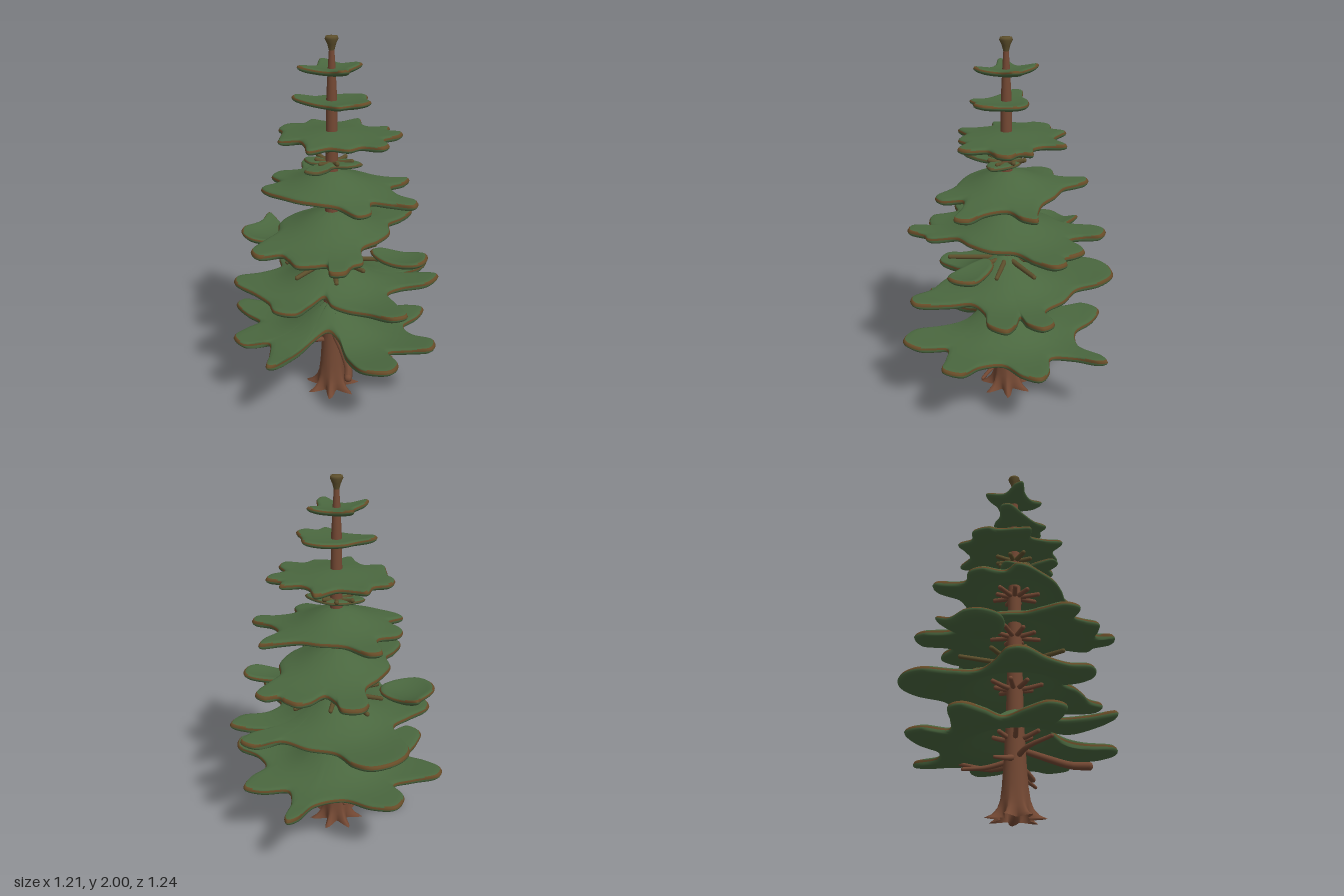
import * as THREE from 'three';

const mat = (name, color, side = THREE.FrontSide) => {
  const m = new THREE.MeshStandardMaterial({ color, side });
  m.name = name;
  return m;
};
const CZ = 0.03; // trunk axis

// Closed lobed pad: a smooth outline swept from centre over a rounded rim to the underside.
// o: y rim height, dome height, width of dome, lift of the tips, tilt along x and z, th thickness, c centre
function pad(name, pts, o, mats) {
  const { y, dome = 0, width = 0.2, lift = 0, tilt = [0, 0], th = 0.04, c = [0, CZ] } = o;
  const curve = new THREE.CatmullRomCurve3(pts.map(p => new THREE.Vector3(p[0] - c[0], 0, p[1] - c[1])), true, 'centripetal');
  const N = pts.length * 12;
  // rows: [radial fraction, inset from the rim, height in half thicknesses]
  const rows = [];
  const body = [0, 0.12, 0.25, 0.38, 0.5, 0.62, 0.74, 0.85, 0.95];
  body.forEach(f => rows.push([f, 0.018 * f, 1]));
  rows.push([1, 0.013, 0.85], [1, 0.006, 0.55], [1, 0, 0], [1, 0.004, -0.5], [1, 0.014, -0.85]);
  body.slice().reverse().forEach(f => rows.push([f, 0.018 * f, -1]));
  const outline = Array.from({ length: N }, (_, i) => curve.getPoint(i / N));
  const meanR = outline.reduce((s, p) => s + p.length(), 0) / N;
  let area = 0;
  outline.forEach((p, i) => { const q = outline[(i + 1) % N]; area += p.x * q.z - q.x * p.z; });
  if (area < 0) outline.reverse(); // keeps the faces outward
  const pos = [], faces = [[], []];
  rows.forEach(([f, inset, v], r) => outline.forEach((p, i) => {
    const R = p.length(), d = Math.max(0, R * f - inset), k = d / R;
    const h = y + dome * Math.exp(-((d / width) ** 2)) + lift * d * d + (tilt[0] * p.x + tilt[1] * p.z) * k;
    pos.push(c[0] + p.x * k, h + v * th / 2, c[1] + p.z * k);
    if (r === rows.length - 1) return;
    // dried edge: a thin line all round, broader on the lobe tips
    const e = r - body.length, dry = e === 1 || (e === 0 && R > meanR * 1.12);
    const a = r * N + i, b = r * N + (i + 1) % N;
    faces[dry ? 1 : 0].push(a, b, a + N, b, b + N, a + N);
  }));
  const g = new THREE.BufferGeometry();
  g.setAttribute('position', new THREE.Float32BufferAttribute(pos, 3));
  g.setIndex(faces.flat());
  g.addGroup(0, faces[0].length, 0);
  g.addGroup(faces[0].length, faces[1].length, 1);
  g.computeVertexNormals();
  const mesh = new THREE.Mesh(g, mats);
  mesh.name = name;
  return mesh;
}

// Tapered rounded twig through a few points
function twig(name, pts, r0, r1, m) {
  const group = new THREE.Group();
  group.name = name;
  const path = new THREE.CatmullRomCurve3(pts.map(p => new THREE.Vector3(...p)));
  const S = 10, K = 8, g = new THREE.TubeGeometry(path, S, 1, K);
  const p = g.attributes.position, v = new THREE.Vector3();
  for (let i = 0; i < p.count; i++) {
    const t = Math.floor(i / (K + 1)) / S, c = path.getPointAt(t);
    v.fromBufferAttribute(p, i).sub(c).multiplyScalar(r0 + (r1 - r0) * t).add(c);
    p.setXYZ(i, v.x, v.y, v.z);
  }
  const tip = new THREE.Mesh(new THREE.SphereGeometry(r1, 8, 6), m);
  tip.position.copy(path.getPoint(1));
  group.add(new THREE.Mesh(g, m), tip);
  return group;
}

export function createModel() {
  const tree = new THREE.Group();
  tree.name = 'coniferTree';
  const bark = mat('bark', 0x734833, THREE.DoubleSide);
  const needles = mat('needles', 0x4a673f);
  const rim = mat('driedRim', 0x684c28);
  const olive = mat('oliveTwig', 0x5d4f2c);
  const leaf = [needles, rim];

  // Trunk with star-shaped root flare
  const profile = [[0.105, 0], [0.092, 0.02], [0.082, 0.05], [0.074, 0.09], [0.066, 0.16], [0.058, 0.28], [0.05, 0.42], [0.043, 0.65],
    [0.038, 1], [0.032, 1.4], [0.027, 1.7], [0.019, 1.85], [0.013, 1.94]].map(p => new THREE.Vector2(...p));
  const tg = new THREE.LatheGeometry(profile, 56);
  const tp = tg.attributes.position;
  for (let i = 0; i < tp.count; i++) {
    const x = tp.getX(i), y = tp.getY(i), z = tp.getZ(i);
    const star = Math.abs(Math.cos(3.5 * Math.atan2(x, z) + 0.3));
    const k = 1 + Math.exp(-y / 0.035) * (0.58 - 0.9 * star);
    tp.setXYZ(i, x * k, y, z * k);
  }
  tg.computeVertexNormals();
  const trunk = new THREE.Mesh(tg, bark);
  trunk.name = 'trunk';
  trunk.position.z = CZ;
  tree.add(trunk);

  // Bud at the very top
  const bud = new THREE.Mesh(new THREE.LatheGeometry([[0.014, 1.93], [0.022, 1.96], [0.034, 1.985], [0.03, 1.998], [0, 2]]
    .map(p => new THREE.Vector2(...p)), 12), olive);
  bud.name = 'topBud';
  bud.position.z = CZ;
  tree.add(bud);

  // Foliage tiers, bottom to top: outline as alternating lobes and notches
  tree.add(pad('lowestTier', [
    [0.06, -0.62], [0.085, -0.59], [0.1, -0.45], [0.16, -0.34], [0.3, -0.4], [0.39, -0.4], [0.4, -0.3], [0.36, -0.16],
    [0.45, -0.07], [0.58, -0.04], [0.6, 0.06], [0.5, 0.11], [0.4, 0.17], [0.5, 0.29], [0.49, 0.39], [0.36, 0.42],
    [0.24, 0.34], [0.13, 0.22], [0.06, 0.2], [0, 0.28], [-0.04, 0.46], [-0.065, 0.6], [-0.09, 0.615], [-0.15, 0.48],
    [-0.22, 0.37], [-0.32, 0.46], [-0.41, 0.41], [-0.41, 0.3], [-0.39, 0.17], [-0.5, 0.13], [-0.6, 0.07], [-0.6, 0],
    [-0.48, -0.06], [-0.38, -0.13], [-0.46, -0.23], [-0.44, -0.34], [-0.32, -0.36], [-0.16, -0.33], [-0.02, -0.42], [0.025, -0.58]],
  { y: 0.352, dome: 0.185, width: 0.2, lift: 0.12, tilt: [0, 0.05] }, leaf));

  tree.add(pad('secondTier', [
    [0.04, -0.35], [0.2, -0.32], [0.31, -0.43], [0.39, -0.41], [0.38, -0.32], [0.32, -0.24], [0.42, -0.27], [0.51, -0.27],
    [0.5, -0.16], [0.38, -0.06], [0.34, 0.05], [0.42, 0.14], [0.53, 0.27], [0.48, 0.33], [0.34, 0.31], [0.22, 0.32], [0.13, 0.31],
    [0.07, 0.27], [0.03, 0.36], [0, 0.48], [-0.1, 0.5], [-0.18, 0.42], [-0.3, 0.36], [-0.45, 0.31], [-0.48, 0.24], [-0.4, 0.12],
    [-0.34, 0], [-0.4, -0.1], [-0.48, -0.24], [-0.45, -0.37], [-0.34, -0.46], [-0.24, -0.44], [-0.12, -0.35]],
  { y: 0.635, dome: 0.19, width: 0.2, lift: 0.13, tilt: [0, 0.03] }, leaf));

  // Loose side boughs
  tree.add(pad('rightBough', [[-0.54, 0.04], [-0.5, -0.08], [-0.49, -0.16], [-0.38, -0.11], [-0.27, -0.04], [-0.25, 0.04],
    [-0.31, 0.13], [-0.42, 0.17], [-0.51, 0.12]], { y: 0.86, lift: 1.2, th: 0.035, c: [-0.37, 0.02] }, leaf));
  tree.add(pad('leftBough', [[0.53, 0.02], [0.5, -0.07], [0.38, -0.07], [0.25, -0.04], [0.22, 0.02], [0.28, 0.07],
    [0.4, 0.1], [0.5, 0.08]], { y: 0.86, lift: 1, th: 0.035, c: [0.38, 0.02] }, leaf));

  tree.add(pad('middleTier', [
    [0.05, -0.46], [0.12, -0.44], [0.17, -0.41], [0.23, -0.45], [0.29, -0.42], [0.28, -0.3], [0.25, -0.18], [0.3, -0.05],
    [0.29, 0.08], [0.25, 0.2], [0.31, 0.33], [0.28, 0.38], [0.28, 0.48], [0.22, 0.51], [0.16, 0.43], [0.1, 0.47], [0.03, 0.5],
    [-0.04, 0.45], [-0.1, 0.42], [-0.19, 0.49], [-0.26, 0.44], [-0.26, 0.32], [-0.24, 0.2], [-0.29, 0.08], [-0.27, -0.08],
    [-0.23, -0.2], [-0.29, -0.36], [-0.27, -0.43], [-0.18, -0.45], [-0.12, -0.37], [-0.05, -0.33], [0, -0.42]],
  { y: 0.945, dome: 0.125, width: 0.22, lift: 0.06 }, leaf));

  tree.add(pad('fifthTier', [
    [0, -0.26], [0.12, -0.25], [0.22, -0.28], [0.3, -0.32], [0.31, -0.25], [0.27, -0.14], [0.35, -0.05], [0.46, -0.02],
    [0.47, 0.05], [0.37, 0.08], [0.27, 0.13], [0.31, 0.24], [0.27, 0.3], [0.15, 0.27], [0.05, 0.29], [-0.06, 0.3],
    [-0.17, 0.28], [-0.28, 0.25], [-0.32, 0.21], [-0.27, 0.11], [-0.36, 0.03], [-0.36, -0.05], [-0.27, -0.13],
    [-0.33, -0.28], [-0.28, -0.31], [-0.14, -0.25]],
  { y: 1.19, dome: 0.105, width: 0.2, lift: 0.05, tilt: [-0.04, 0], th: 0.038 }, leaf));

  tree.add(pad('smallLeafTier', [[0, -0.05], [0.09, -0.03], [0.17, 0.02], [0.12, 0.08], [0.05, 0.11], [0.05, 0.2], [0.03, 0.28],
    [-0.03, 0.28], [-0.05, 0.2], [-0.05, 0.1], [-0.1, 0.1], [-0.15, 0.05], [-0.08, -0.02]],
  { y: 1.35, lift: 0.3, th: 0.025 }, [needles, olive]));

  tree.add(pad('seventhTier', [
    [0, -0.32], [0.06, -0.23], [0.12, -0.2], [0.21, -0.24], [0.23, -0.18], [0.31, -0.17], [0.32, -0.11], [0.27, -0.02],
    [0.33, 0.06], [0.32, 0.12], [0.22, 0.14], [0.18, 0.21], [0.08, 0.23], [0.01, 0.32], [-0.05, 0.24], [-0.11, 0.19],
    [-0.2, 0.23], [-0.23, 0.17], [-0.27, 0.07], [-0.31, 0.03], [-0.31, -0.06], [-0.24, -0.11], [-0.23, -0.2],
    [-0.17, -0.2], [-0.08, -0.21]],
  { y: 1.475, dome: 0.03, width: 0.18, lift: 0.1, th: 0.035 }, leaf));

  tree.add(pad('eighthTier', [[0.05, -0.12], [0.13, -0.11], [0.17, -0.03], [0.22, 0.04], [0.2, 0.1], [0.14, 0.13], [0.11, 0.18],
    [0.02, 0.15], [-0.08, 0.13], [-0.19, 0.1], [-0.2, 0.05], [-0.12, 0], [-0.07, -0.06]],
  { y: 1.665, lift: 0.5, th: 0.03 }, leaf));

  tree.add(pad('topTier', [[-0.12, -0.09], [-0.07, -0.1], [0, -0.085], [0.08, -0.1], [0.12, -0.08], [0.1, 0.02], [0.13, 0.11],
    [0.11, 0.155], [0.03, 0.125], [-0.05, 0.125], [-0.13, 0.15], [-0.14, 0.11], [-0.1, 0.02]],
  { y: 1.825, lift: 0.95, th: 0.03 }, leaf));

  // Bare branches below the lowest tier
  [
    [[[0, 0.31, CZ], [-0.14, 0.27, 0.05], [-0.27, 0.24, 0.06]], 0.018, 0.009],
    [[[0, 0.31, CZ], [0.15, 0.26, -0.01], [0.34, 0.24, -0.02]], 0.018, 0.009],
    [[[0, 0.36, CZ], [0.12, 0.32, 0.15], [0.2, 0.29, 0.25], [0.235, 0.285, 0.33]], 0.016, 0.022],
    [[[0, 0.28, CZ], [0.1, 0.27, 0.03], [0.22, 0.25, 0.02]], 0.016, 0.016],
    [[[0, 0.27, CZ], [0.04, 0.28, -0.14], [0.07, 0.34, -0.33]], 0.018, 0.01],
    [[[0, 0.3, CZ], [-0.06, 0.26, -0.1], [-0.12, 0.25, -0.2]], 0.016, 0.01],
    [[[0, 0.3, CZ], [-0.08, 0.33, 0.14], [-0.1, 0.36, 0.28]], 0.016, 0.01],
  ].forEach(b => tree.add(twig('bareBranch', ...b, bark)));

  // Rings of twigs around the trunk: [height, count, length, rise, material]
  [[0.4, 6, 0.13, 0.03, bark], [0.67, 8, 0.14, 0.02, bark], [0.81, 9, 0.31, 0, olive], [0.97, 8, 0.14, 0.01, bark],
    [1.21, 9, 0.13, 0.01, bark], [1.35, 7, 0.11, 0.02, olive], [1.435, 8, 0.11, 0.005, olive]].forEach(([y, n, len, rise, m], j) => {
    for (let i = 0; i < n; i++) {
      const a = (i + 0.37 * j) / n * Math.PI * 2, l = len * (0.86 + 0.14 * Math.cos(i * 2.4));
      const at = (f, h) => [Math.sin(a) * l * f, y + h, CZ + Math.cos(a) * l * f];
      tree.add(twig('twig', [at(0, 0), at(0.5, rise * 0.3), at(1, rise)], 0.015, 0.012, m));
    }
  });
  return tree;
}
